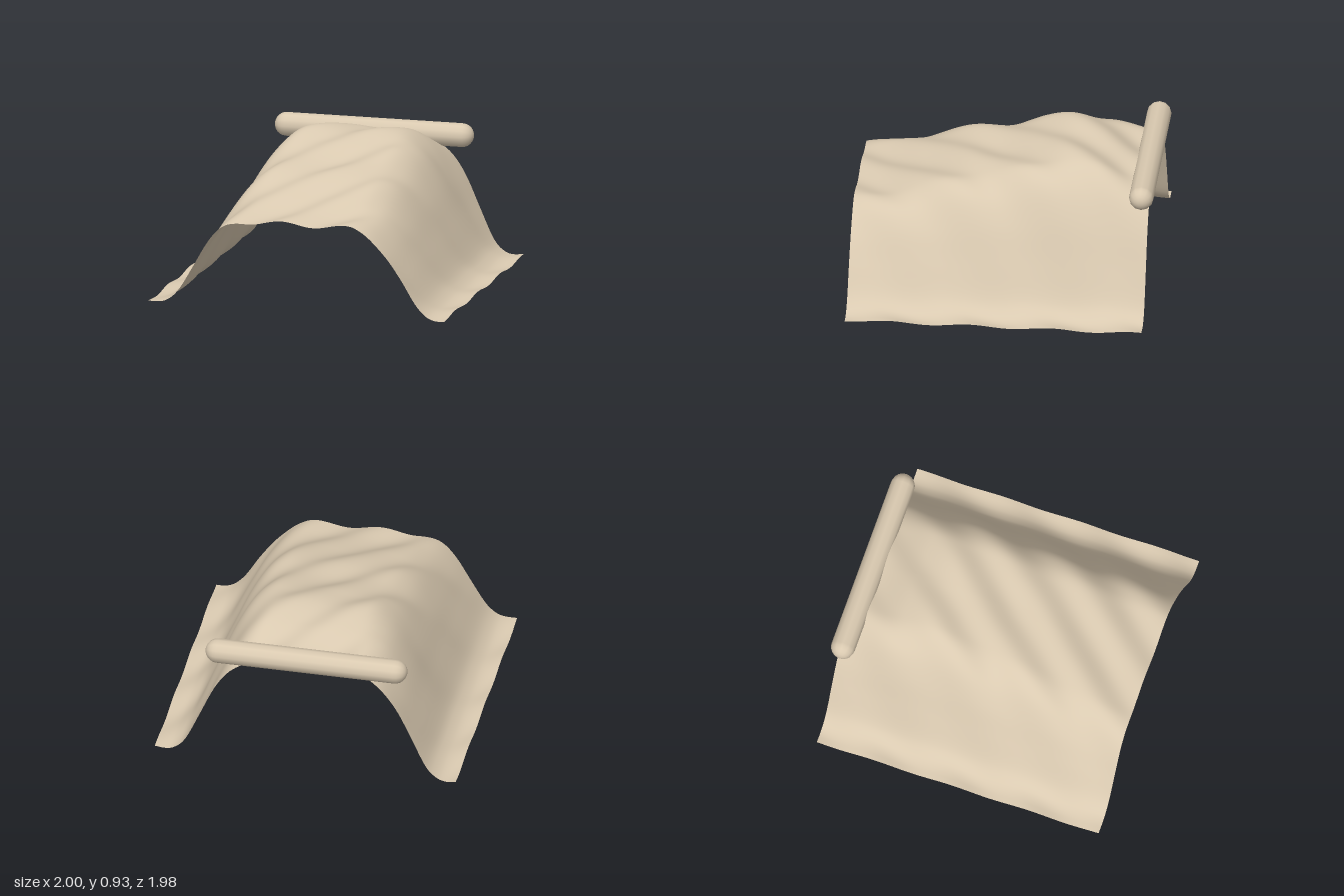
import * as THREE from 'three';

// Smooth curve through [position, value] pairs sorted by position
function smooth(points) {
  const n = points.length;
  const slope = points.map((_, i) => {
    const a = points[Math.max(i - 1, 0)], b = points[Math.min(i + 1, n - 1)];
    return (b[1] - a[1]) / (b[0] - a[0]);
  });
  return (x) => {
    let i = 0;
    while (i < n - 2 && x > points[i + 1][0]) i++;
    const [x0, y0] = points[i], [x1, y1] = points[i + 1];
    const h = x1 - x0, t = (x - x0) / h, t2 = t * t, t3 = t2 * t;
    return y0 * (2 * t3 - 3 * t2 + 1) + slope[i] * h * (t3 - 2 * t2 + t)
      + y1 * (3 * t2 - 2 * t3) + slope[i + 1] * h * (t3 - t2);
  };
}

// Height of the ridge from back to front
const ridge = smooth([[-0.95, 0.79], [-0.8, 0.82], [-0.6, 0.885], [-0.4, 0.912], [-0.2, 0.875],
  [0.05, 0.805], [0.3, 0.765], [0.57, 0.685], [0.8, 0.618], [0.99, 0.588]]);

// Cross-sections from the middle outwards: broad at low ridges, rounder at high ones
const lowSection = smooth([[0, 0.59], [0.3, 0.588], [0.4, 0.578], [0.5, 0.53], [0.6, 0.425],
  [0.7, 0.27], [0.8, 0.105], [0.87, 0.035], [0.93, 0.013], [1, 0.012]]);
const highSection = smooth([[0, 0.912], [0.3, 0.908], [0.4, 0.868], [0.5, 0.765], [0.6, 0.58],
  [0.7, 0.335], [0.8, 0.11], [0.87, 0.038], [0.93, 0.014], [1, 0.012]]);

function clothHeight(x, z) {
  const t = (ridge(z) - 0.588) / (0.912 - 0.588);
  const a = Math.abs(x);
  const base = THREE.MathUtils.lerp(lowSection(a), highSection(a), t);
  // Diagonal wrinkles, shallower on the hems
  const amplitude = 0.016 - 0.007 * THREE.MathUtils.smoothstep(a, 0.5, 0.9);
  return Math.max(0, base + amplitude * Math.cos(14.5 * (x + 0.1) + 11.85 * (z - 0.99)));
}

export function createModel() {
  const group = new THREE.Group();
  const linen = new THREE.MeshStandardMaterial({ color: 0xd9c9b0, side: THREE.DoubleSide });
  linen.name = 'linen';

  // Draped cloth
  const sheet = new THREE.PlaneGeometry(2, 1.94, 100, 96);
  sheet.rotateX(-Math.PI / 2);
  sheet.translate(0, 0, 0.02);
  const p = sheet.attributes.position;
  for (let i = 0; i < p.count; i++) p.setY(i, clothHeight(p.getX(i), p.getZ(i)));
  sheet.computeVertexNormals();
  const cloth = new THREE.Mesh(sheet, linen);
  cloth.name = 'drapedCloth';
  group.add(cloth);

  // Rolled edge across the back
  const rollShape = new THREE.CapsuleGeometry(0.08, 1.18, 6, 12);
  rollShape.rotateZ(Math.PI / 2);
  const roll = new THREE.Mesh(rollShape, linen);
  roll.name = 'backRoll';
  roll.position.set(0, 0.796, -0.91);
  group.add(roll);

  return group;
}
